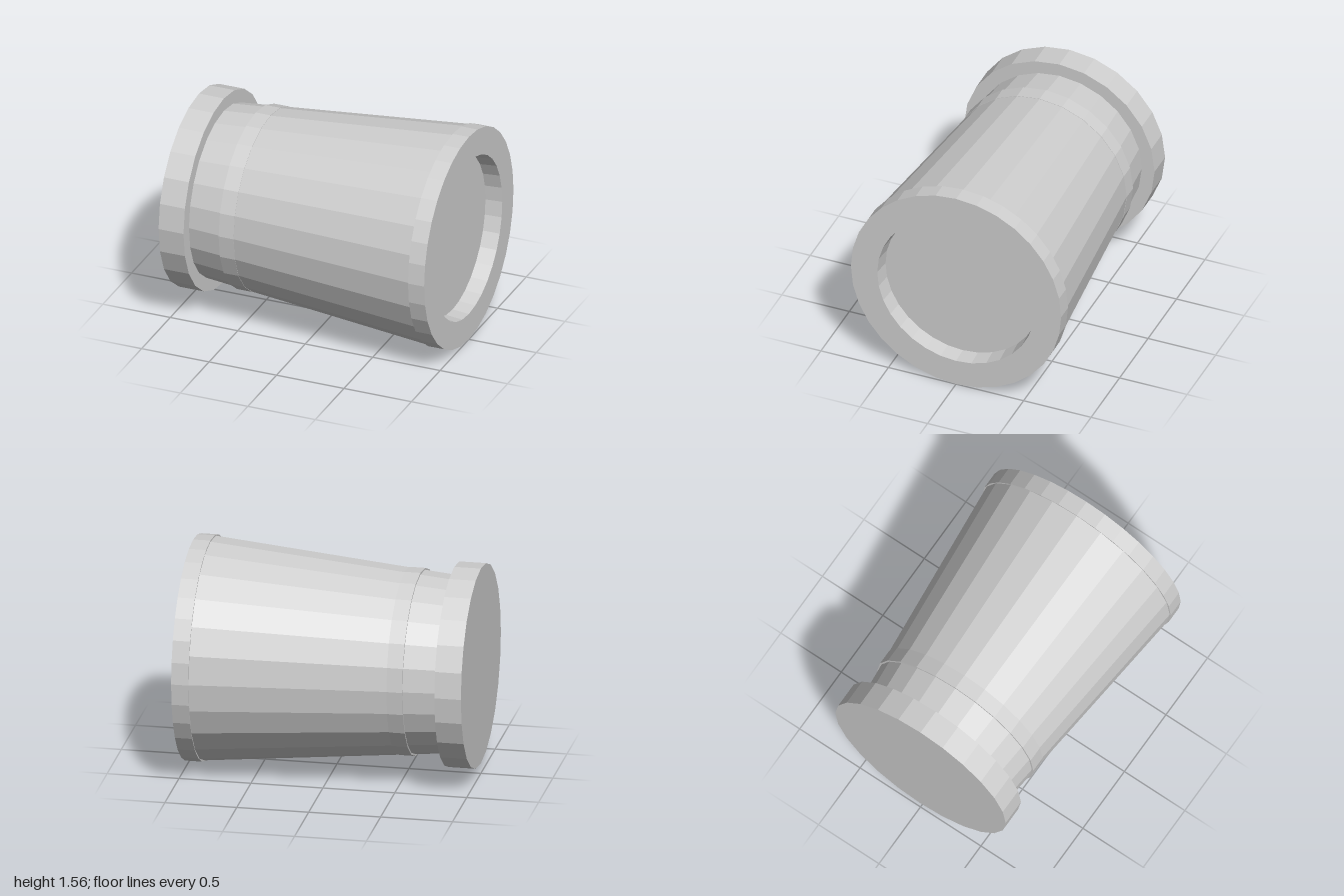
import * as THREE from 'three';

export function createModel() {
  const model = new THREE.Group();
  const grey = new THREE.MeshStandardMaterial({ color: 0xcfcfcf, flatShading: true });
  grey.name = 'light grey';

  // The barrel is built along y, then laid down so that +y becomes +x
  const barrel = new THREE.Group();
  barrel.name = 'barrel';
  barrel.rotation.z = -Math.PI / 2;
  barrel.position.y = 0.778;
  model.add(barrel);

  const add = (name, geometry, at = 0) => {
    const mesh = new THREE.Mesh(geometry, grey);
    mesh.name = name;
    mesh.position.y = at;
    barrel.add(mesh);
  };

  // Cylinder or cone between two stations on the axis
  const section = (name, start, end, rStart, rEnd) =>
    add(name, new THREE.CylinderGeometry(rEnd, rStart, end - start, 24), (start + end) / 2);

  section('endCap', -1, -0.815, 0.705, 0.705);
  section('taperedBody', -0.815, 0.88, 0.61, 0.77);
  section('collar', -0.58, -0.47, 0.645, 0.645);

  // Wide rim with a shallow bore that leaves the body's end face recessed
  const rim = [[0.778, 0.88], [0.778, 1], [0.583, 1], [0.572, 0.88], [0.778, 0.88]];
  add('rim', new THREE.LatheGeometry(rim.map(([r, y]) => new THREE.Vector2(r, y)), 32));

  return model;
}
